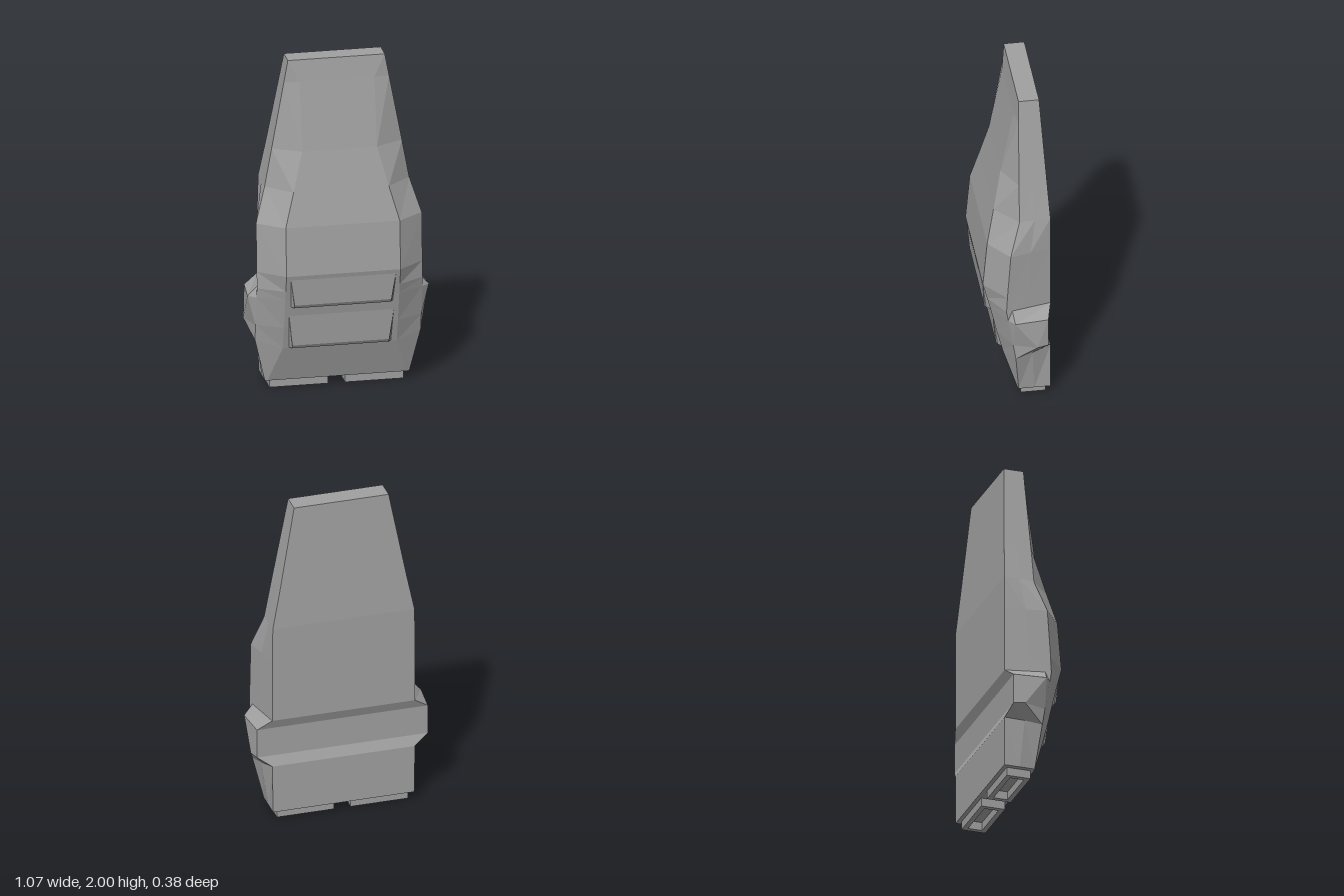
import * as THREE from 'three';

const grey = new THREE.MeshStandardMaterial({ color: 0xa0a0a0, flatShading: true });
grey.name = 'hull grey';

// Flat-shaded mesh from faces, each a loop of corners counter-clockwise from outside
function facetMesh(name, faces) {
  const pos = [];
  for (const f of faces) {
    for (let i = 1; i < f.length - 1; i++) pos.push(...f[0], ...f[i], ...f[i + 1]);
  }
  const g = new THREE.BufferGeometry();
  g.setAttribute('position', new THREE.Float32BufferAttribute(pos, 3));
  g.computeVertexNormals();
  const m = new THREE.Mesh(g, grey);
  m.name = name;
  return m;
}

const mirror = ([x, y, z]) => [-x, y, z];
const mid = (a, b) => a.map((v, i) => (v + b[i]) / 2);

// Half cross-sections: front edge, shoulder edge, back edge, optional side bulge
const sections = [
  [[0.23, 2, -0.025], [0.285, 2, -0.025], [0.285, 2, -0.145]],
  [[0.22, 1.87, -0.005], [0.309, 1.87, -0.022], [0.309, 1.87, -0.153]],
  [[0.22, 1.47, 0.07], [0.383, 1.47, -0.013], [0.383, 1.47, -0.177]],
  [[0.28, 1.24, 0.12], [0.425, 1.24, -0.01], [0.427, 1.25, -0.19]],
  [[0.335, 1.04, 0.165], [0.487, 1.04, 0.05], [0.43, 1.04, -0.19]],
  [[0.335, 0.75, 0.19], [0.487, 0.75, 0.07], [0.43, 0.75, -0.19]],
  [[0.335, 0.65, 0.165], [0.487, 0.65, 0.075], [0.43, 0.65, -0.19], [0.48, 0.65, 0.04]],
  [[0.335, 0.59, 0.15], [0.487, 0.59, 0.065], [0.515, 0.59, -0.165], [0.533, 0.59, 0.03]],
  [[0.335, 0.41, 0.11], [0.487, 0.41, 0.036], [0.515, 0.41, -0.165], [0.533, 0.41, -0.1]],
  [[0.335, 0.27, 0.075], [0.487, 0.31, 0.02], [0.43, 0.35, -0.19], [0.465, 0.33, -0.08]],
  [[0.41, 0.05, 0], [0.425, 0.05, -0.005], [0.425, 0.05, -0.19]],
];

function hull() {
  const rings = sections.map(([p, q, r, s = mid(q, r)]) => {
    const half = [p, q, s, r];
    return [...half, ...half.map(mirror).reverse()];
  });
  const faces = [rings[0], [...rings[rings.length - 1]].reverse()];
  for (let i = 0; i < rings.length - 1; i++) {
    const a = rings[i], b = rings[i + 1], n = a.length;
    for (let j = 0; j < n; j++) {
      const k = (j + 1) % n;
      // mirror the diagonal on the left half
      if (j < 4) faces.push([a[j], b[j], a[k]], [a[k], b[j], b[k]]);
      else faces.push([a[j], b[j], b[k]], [a[j], b[k], a[k]]);
    }
  }
  return facetMesh('hull', faces);
}

// Wedge-shaped hood with a narrower lower lip
function louvre(name, yTop, zTop, yLow, zLow, zBack) {
  const top = [0.308, yTop, zTop];
  const lip = [0.285, yLow + 0.02, zLow];
  const under = [0.282, yLow, zLow - 0.012];
  const back = [0.305, yLow, zBack];
  const [t, l, u, b] = [top, lip, under, back].map(mirror);
  return facetMesh(name, [
    [t, l, lip, top], [l, u, under, lip], [u, b, back, under],
    [top, lip, under, back], [t, b, u, l],
  ]);
}

// Hollow rectangular connector under the hull
function connector(side) {
  const w = 0.345, d = 0.145, t = 0.03;
  const rect = (path, x, y) => path.moveTo(-x, -y).lineTo(x, -y).lineTo(x, y).lineTo(-x, y).closePath();
  const shape = new THREE.Shape();
  const hole = new THREE.Path();
  for (const [p, x, y] of [[shape, w / 2, d / 2], [hole, w / 2 - t, d / 2 - t]]) {
    p.moveTo(-x, -y); p.lineTo(x, -y); p.lineTo(x, y); p.lineTo(-x, y); p.closePath();
  }
  shape.holes.push(hole);
  const g = new THREE.ExtrudeGeometry(shape, { depth: 0.052, bevelEnabled: false });
  g.rotateX(-Math.PI / 2);
  const m = new THREE.Mesh(g, grey);
  m.position.set(side * 0.222, 0, -0.0925);
  m.name = side > 0 ? 'leftConnector' : 'rightConnector';
  return m;
}

export function createModel() {
  const model = new THREE.Group();
  model.name = 'model';
  model.add(hull());
  model.add(louvre('upperLouvre', 0.725, 0.186, 0.545, 0.175, 0.13));
  model.add(louvre('lowerLouvre', 0.485, 0.127, 0.275, 0.108, 0.07));
  model.add(connector(1), connector(-1));
  return model;
}
